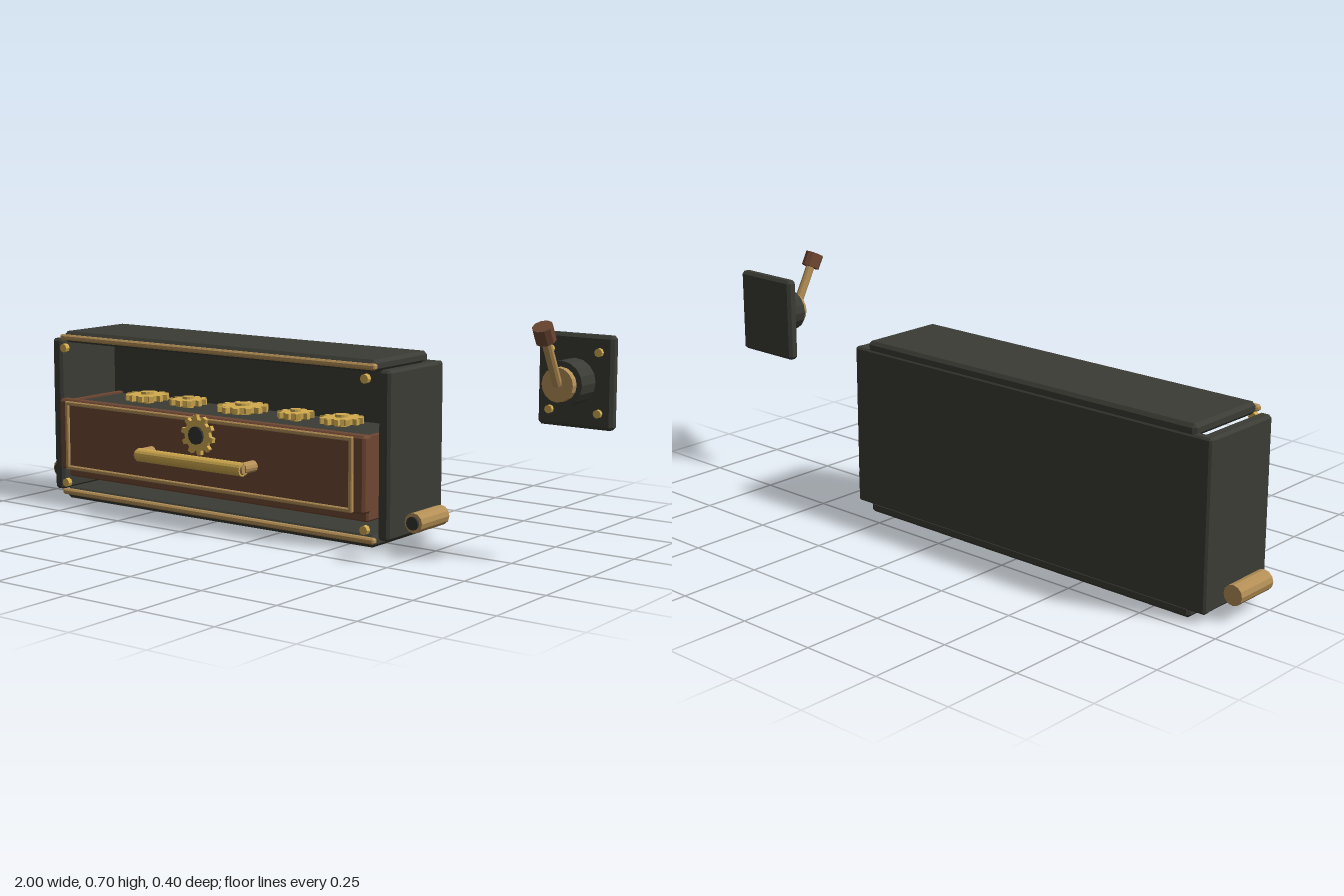
import * as THREE from 'three';
import { ConvexGeometry } from 'three/addons/geometries/ConvexGeometry.js';

const mat = (name, color) => {
  const m = new THREE.MeshStandardMaterial({ color });
  m.name = name;
  return m;
};

export function createModel() {
  const iron = mat('dark iron', 0x3b3c35);
  const steel = mat('blackened steel', 0x33352f);
  const brass = mat('aged brass', 0xb48f56);
  const gold = mat('polished brass', 0xd2ab4f);
  const wood = mat('mahogany', 0x6f4733);
  const root = new THREE.Group();
  root.name = 'drawerAndLever';

  const add = (parent, name, geo, material, x = 0, y = 0, z = 0) => {
    const m = new THREE.Mesh(geo, material);
    m.name = name;
    m.position.set(x, y, z);
    parent.add(m);
    return m;
  };
  const group = (name, x, y, z) => {
    const g = new THREE.Group();
    g.name = name;
    g.position.set(x, y, z);
    root.add(g);
    return g;
  };
  // box with chamfered edges
  const slab = (w, h, d, c) => {
    const pts = [];
    for (const i of [-1, 1]) for (const j of [-1, 1]) for (const k of [-1, 1]) {
      const x = i * w / 2, y = j * h / 2, z = k * d / 2;
      pts.push(new THREE.Vector3(x, y - j * c, z - k * c),
        new THREE.Vector3(x - i * c, y, z - k * c),
        new THREE.Vector3(x - i * c, y - j * c, z));
    }
    return new ConvexGeometry(pts);
  };
  // faceted cylinder along a chosen axis
  const rod = (r, len, axis = 'z', sides = 12) => {
    const g = new THREE.CylinderGeometry(r, r, len, sides).toNonIndexed();
    g.computeVertexNormals();
    if (axis === 'z') g.rotateX(Math.PI / 2);
    if (axis === 'x') g.rotateZ(Math.PI / 2);
    return g;
  };
  // toothed wheel, centred, facing +z
  const gear = (r, depth, teeth) => {
    const s = new THREE.Shape();
    const step = Math.PI * 2 / teeth;
    for (let i = 0; i < teeth; i++) {
      [[0, 0.78], [0.42, 0.78], [0.52, 1], [0.9, 1]].forEach(([t, k], j) => {
        const a = (i + t) * step;
        s[i || j ? 'lineTo' : 'moveTo'](Math.cos(a) * r * k, Math.sin(a) * r * k);
      });
    }
    return new THREE.ExtrudeGeometry(s, { depth, bevelEnabled: false }).translate(0, 0, -depth / 2);
  };

  // Cabinet shell
  const cx = -0.267;
  const cabinet = group('cabinet', cx, 0, 0);
  add(cabinet, 'backPanel', slab(1.32, 0.495, 0.03, 0.006), iron, 0, 0.273, -0.184);
  for (const [name, y] of [['bottomPanel', 0.018], ['topPanel', 0.529]])
    add(cabinet, name, slab(1.216, 0.036, 0.282, 0.01), iron, 0, y, -0.056);
  for (const s of [-1, 1]) {
    add(cabinet, 'sidePanel', slab(0.04, 0.495, 0.282, 0.008), iron, s * 0.64, 0.273, -0.056);
    // round side sockets
    add(cabinet, 'sideSocket', rod(0.03, 0.147), brass, s * 0.7, 0.075, -0.056);
    add(cabinet, 'socketCore', rod(0.02, 0.03), steel, s * 0.7, 0.075, 0.01);
    // corner rivets
    for (const y of [0.055, 0.495])
      add(cabinet, 'rivet', rod(0.014, 0.016, 'z', 8), gold, s * 0.588, y, 0.101);
  }
  for (const y of [0.022, 0.528])
    add(cabinet, 'edgeTrim', slab(1.23, 0.018, 0.022, 0.005), brass, 0, y, 0.086);

  // Drawer
  const drawer = group('drawer', cx, 0, 0);
  add(drawer, 'drawerFront', slab(1.2, 0.229, 0.04, 0.008), wood, 0, 0.2175, 0.102);
  add(drawer, 'drawerFloor', slab(1.18, 0.03, 0.245, 0.005), wood, 0, 0.09, -0.033);
  add(drawer, 'drawerTray', new THREE.BoxGeometry(1.15, 0.215, 0.235), iron, 0, 0.2125, -0.035);
  for (const s of [-1, 1]) {
    add(drawer, 'drawerSide', new THREE.BoxGeometry(0.018, 0.226, 0.24), wood, s * 0.582, 0.213, -0.036);
    add(drawer, 'frameUpright', slab(0.014, 0.222, 0.012, 0.003), brass, s * 0.557, 0.217, 0.127);
    add(drawer, 'frameRail', slab(1.12, 0.013, 0.012, 0.003), brass, 0, 0.217 + s * 0.1045, 0.127);
  }

  // Pull handle
  add(drawer, 'handleBar', rod(0.021, 0.41, 'x', 16), gold, 0, 0.2, 0.18);
  for (const s of [-1, 1]) {
    add(drawer, 'handlePost', rod(0.018, 0.055), brass, s * 0.2, 0.202, 0.153);
    add(drawer, 'handleCap', rod(0.016, 0.01, 'x'), brass, s * 0.208, 0.2, 0.18);
  }

  // Gear emblem on the drawer front
  add(drawer, 'frontGear', gear(0.062, 0.014, 10), gold, 0, 0.277, 0.14);
  add(drawer, 'frontGearHub', rod(0.028, 0.02), steel, 0, 0.277, 0.145);

  // Loose gears lying in the tray
  [[-0.626, 0.07, 12], [-0.455, 0.06, 10], [-0.235, 0.08, 12], [-0.03, 0.057, 10], [0.14, 0.067, 12]]
    .forEach(([x, r, n]) => {
      add(drawer, 'trayGear', gear(r, 0.018, n).rotateX(-Math.PI / 2), gold, x - cx, 0.341, -0.037);
      add(drawer, 'trayGearHub', rod(r * 0.3, 0.036, 'y'), gold, x - cx, 0.34, -0.037);
    });

  // Wall lever
  const lever = group('lever', 0.885, 0.515, 0);
  add(lever, 'leverPlate', slab(0.23, 0.26, 0.035, 0.009), iron, 0, 0, -0.108);
  add(lever, 'leverHousing', rod(0.064, 0.08, 'z', 16), iron, 0, 0, -0.053);
  add(lever, 'leverCollar', rod(0.048, 0.022, 'z', 16), brass, 0, 0, -0.003);
  for (const x of [-0.075, 0.075]) for (const y of [-0.084, 0.084])
    add(lever, 'plateBolt', rod(0.012, 0.012, 'z', 8), gold, x, y, -0.085);
  const arm = new THREE.Group();
  arm.name = 'leverArm';
  arm.position.set(0, 0, 0.006);
  arm.rotation.x = 0.49;
  lever.add(arm);
  add(arm, 'leverRod', rod(0.014, 0.15, 'y', 10), brass, 0, 0.075, 0);
  add(arm, 'leverKnob', rod(0.029, 0.046, 'y', 10), wood, 0, 0.166, 0);

  return root;
}
